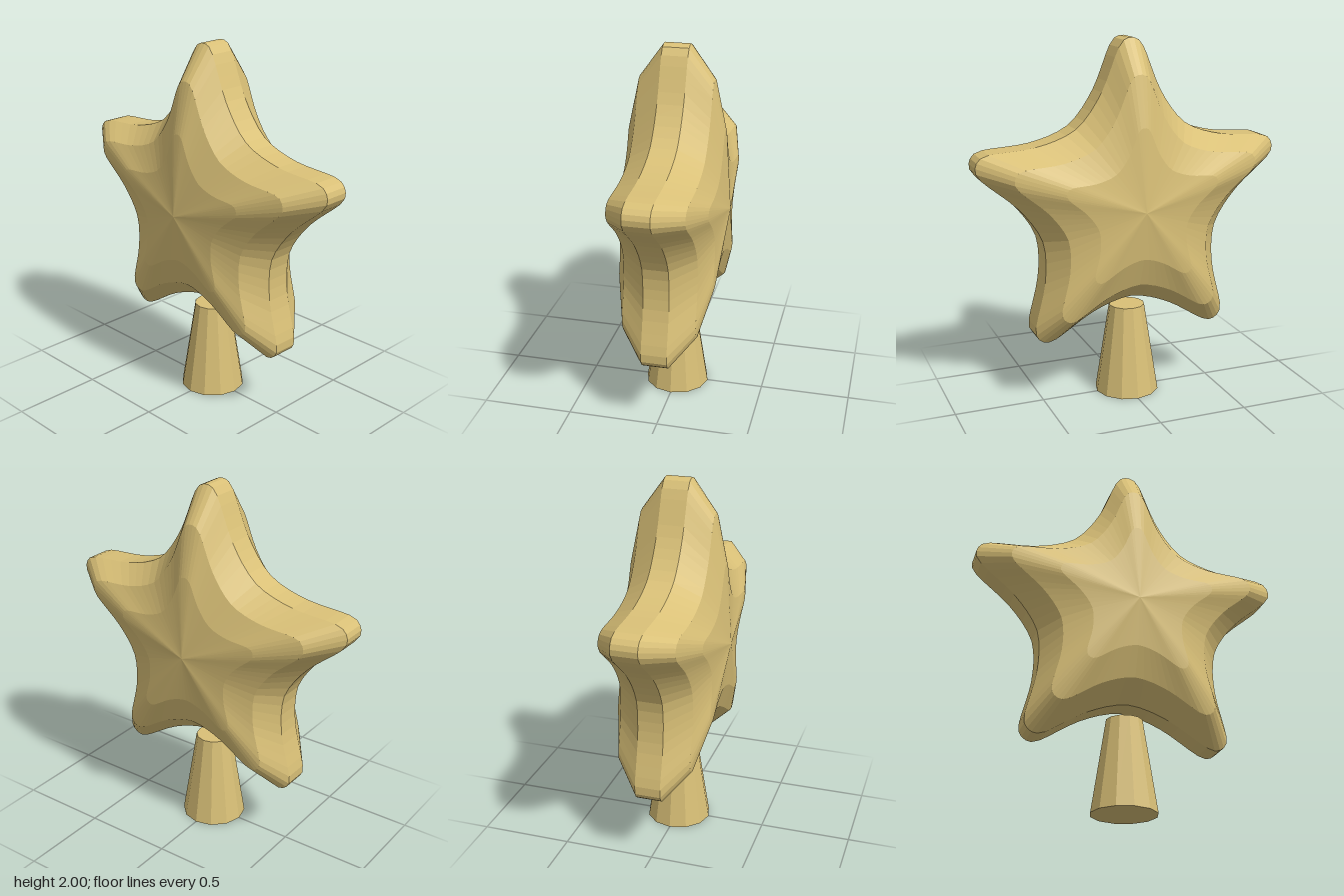
import * as THREE from 'three';

// half of one arm's edge, valley to tip: [sideways, outward] from the star's centre
const HALF_ARM = [
  [0.311, 0.429], [0.267, 0.47], [0.228, 0.518], [0.197, 0.564], [0.167, 0.615], [0.14, 0.672],
  [0.115, 0.735], [0.092, 0.795], [0.07, 0.845], [0.042, 0.882], [0.014, 0.894],
];
// domed section, front to back: [outline scale, z]
const SECTION = [
  [0, 0.295], [0.5, 0.26], [0.8, 0.2], [1, 0.07],
  [1, -0.07], [0.8, -0.2], [0.5, -0.26], [0, -0.295],
];

// closed counter-clockwise outline made of five mirrored arms
function starOutline() {
  const left = HALF_ARM.slice(1).reverse().map(([s, o]) => [-s, o]);
  const arm = [...HALF_ARM, ...left];
  const points = [];
  for (let k = 0; k < 5; k++) {
    const turn = (k * Math.PI * 2) / 5;
    for (const [s, o] of arm) {
      points.push(new THREE.Vector2(s, o).rotateAround(new THREE.Vector2(), turn));
    }
  }
  return points;
}

// scaled outlines joined into a solid
function starGeometry() {
  const outline = starOutline();
  const n = outline.length;
  const positions = [];
  const index = [];
  for (const [scale, z] of SECTION) {
    for (const p of outline) positions.push(p.x * scale, p.y * scale, z);
  }
  for (let r = 0; r < SECTION.length - 1; r++) {
    for (let i = 0; i < n; i++) {
      const j = (i + 1) % n;
      const a = r * n + i, b = r * n + j;
      const c = a + n, d = b + n;
      if (SECTION[r + 1][0] > 0) index.push(a, c, d);
      if (SECTION[r][0] > 0) index.push(a, d, b);
    }
  }
  const geometry = new THREE.BufferGeometry();
  geometry.setAttribute('position', new THREE.Float32BufferAttribute(positions, 3));
  geometry.setIndex(index);
  const flat = geometry.toNonIndexed();
  flat.computeVertexNormals();
  return flat;
}

export function createModel() {
  const group = new THREE.Group();
  group.name = 'starTopper';
  const gold = new THREE.MeshStandardMaterial({ color: 0xd9c077, flatShading: true });
  gold.name = 'gold';

  // five-armed star
  const star = new THREE.Mesh(starGeometry(), gold);
  star.name = 'star';
  star.position.y = 1.106;
  group.add(star);

  // tapered stand below it
  const stand = new THREE.Mesh(new THREE.CylinderGeometry(0.1, 0.18, 0.51, 12), gold);
  stand.name = 'stand';
  stand.position.y = 0.255;
  group.add(stand);

  return group;
}
